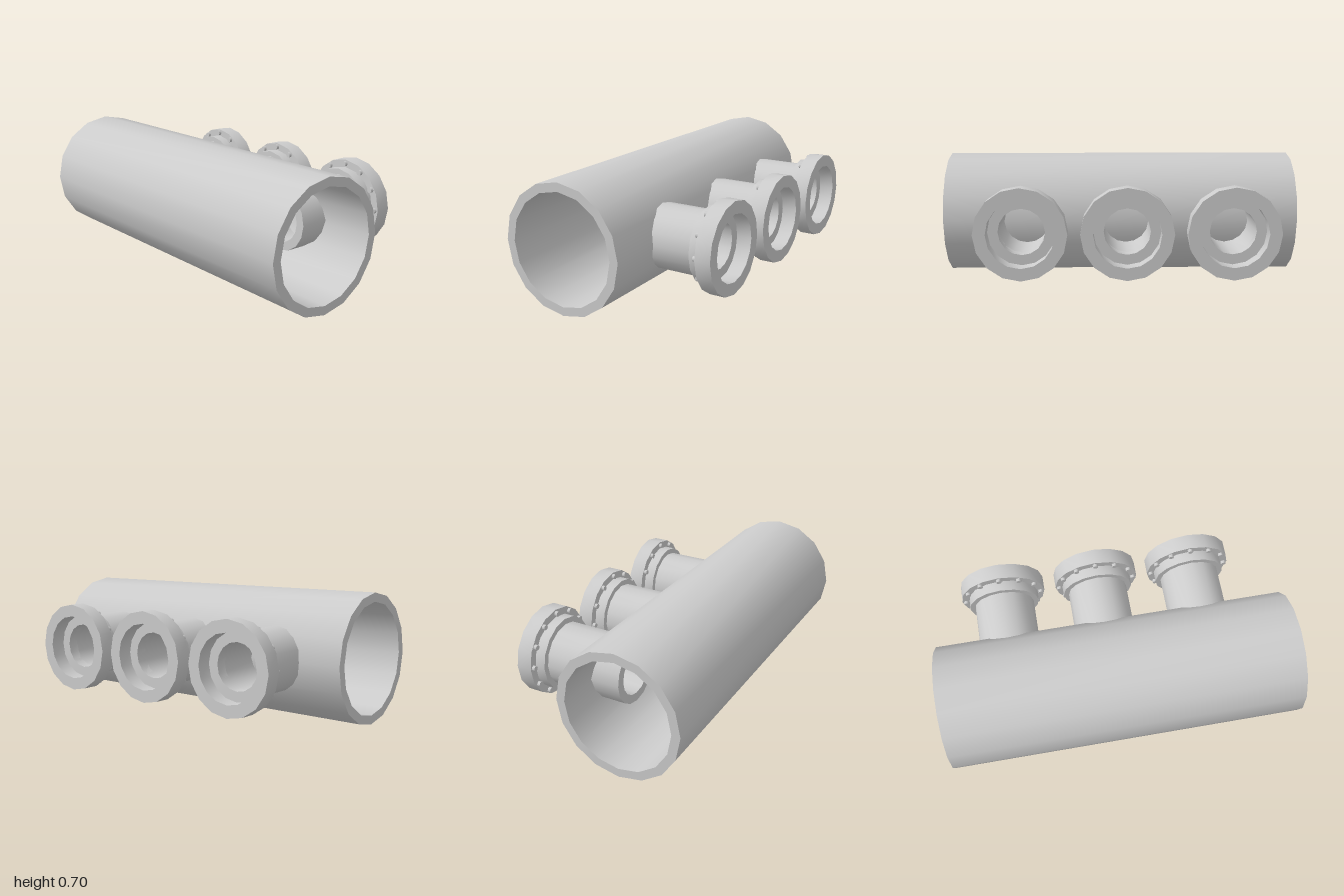
import * as THREE from 'three';
import { toCreasedNormals } from 'three/addons/utils/BufferGeometryUtils.js';

const SIDES = 16;
const material = new THREE.MeshStandardMaterial({ color: 0xcccccc });

// Hollow ring of rectangular section around the y axis
function ring(outer, inner, low, high) {
  const profile = [[outer, low], [outer, high], [inner, high], [inner, low], [outer, low]]
    .map(([r, y]) => new THREE.Vector2(r, y));
  return toCreasedNormals(new THREE.LatheGeometry(profile, SIDES), 0.6);
}

function addMesh(parent, name, geometry) {
  const mesh = new THREE.Mesh(geometry, material);
  mesh.name = name;
  parent.add(mesh);
  return mesh;
}

// Branch pipe along y, with collar, end flange and bolts
function createBranch() {
  const branch = new THREE.Group();
  branch.name = 'branch';
  addMesh(branch, 'branchTube', ring(0.174, 0.125, -0.05, 0.45));
  addMesh(branch, 'collar', ring(0.205, 0.125, 0.39, 0.452));
  addMesh(branch, 'endFlange', ring(0.247, 0.18, 0.448, 0.535));

  const boltGeometry = new THREE.CylinderGeometry(0.015, 0.015, 0.03, 8);
  for (let i = 0; i < 12; i++) {
    const angle = (i / 12) * Math.PI * 2;
    addMesh(branch, 'bolt', boltGeometry)
      .position.set(0.224 * Math.sin(angle), 0.446, 0.224 * Math.cos(angle));
  }
  return branch;
}

export function createModel() {
  const model = new THREE.Group();
  model.name = 'pipeManifold';

  // Main pipe lying along x
  const pipe = addMesh(model, 'mainPipe', ring(0.35, 0.302, -1, 1));
  pipe.rotation.z = -Math.PI / 2;
  pipe.position.set(0, 0.352, 0.187);

  // Three branches pointing to the back
  for (const x of [-0.592, -0.03, 0.53]) {
    const branch = createBranch();
    branch.rotation.x = -Math.PI / 2;
    branch.position.set(x, 0.352, 0);
    model.add(branch);
  }
  return model;
}
